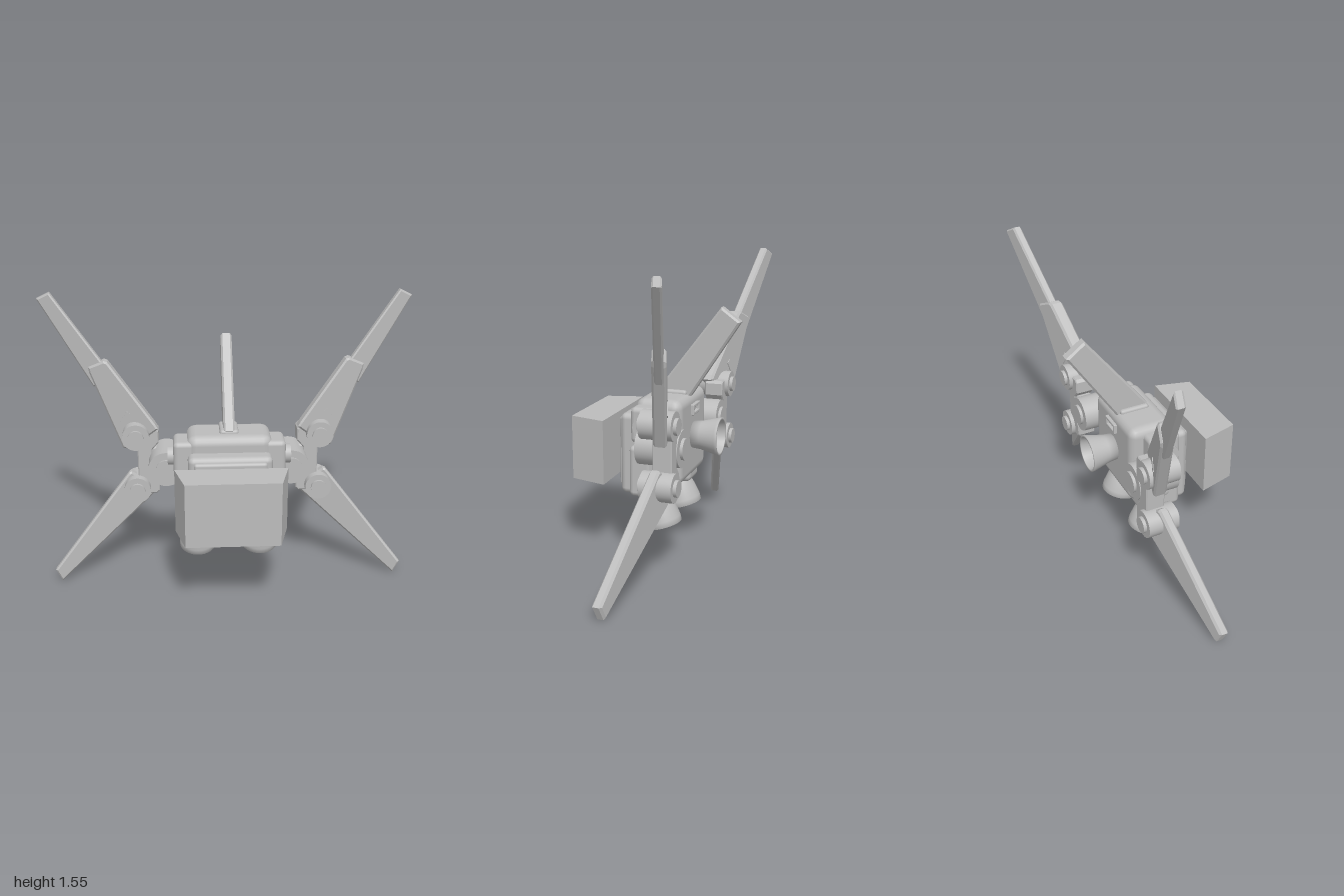
import * as THREE from 'three';
import { RoundedBoxGeometry } from 'three/addons/geometries/RoundedBoxGeometry.js';

export function createModel() {
  const model = new THREE.Group();
  const grey = new THREE.MeshStandardMaterial({ color: 0xbcbcbc });
  grey.name = 'plainGrey';

  const add = (name, geo, x = 0, y = 0, z = 0) => {
    const m = new THREE.Mesh(geo, grey);
    m.name = name;
    m.position.set(x, y, z);
    model.add(m);
    return m;
  };
  // Rounded box given by its extents
  const block = (name, [x0, x1], [y0, y1], [z0, z1], r = 0.02) =>
    add(name, new RoundedBoxGeometry(x1 - x0, y1 - y0, z1 - z0, 2, r),
      (x0 + x1) / 2, (y0 + y1) / 2, (z0 + z1) / 2);
  // Cylinder lying along z
  const drum = (name, x, y, z0, z1, r) =>
    add(name, new THREE.CylinderGeometry(r, r, z1 - z0, 32).rotateX(Math.PI / 2), x, y, (z0 + z1) / 2);
  // Outline extruded to a bevelled slab
  const slab = (pts, depth, bevel) => {
    const shape = new THREE.Shape(pts.map(([x, y]) => new THREE.Vector2(x, y)));
    return new THREE.ExtrudeGeometry(shape, {
      depth: depth - 2 * bevel, bevelEnabled: bevel > 0, bevelSize: bevel,
      bevelThickness: bevel, bevelOffset: -bevel, bevelSegments: 1,
    }).translate(0, 0, -depth / 2 + bevel);
  };
  // Blade swept in z in proportion to its distance from the middle
  const blade = (name, s, pts, depth, bevel, base, slope) => {
    const geo = slab(pts.map(([x, y]) => [s * x, y]), depth, bevel);
    const p = geo.attributes.position;
    for (let i = 0; i < p.count; i++) p.setZ(i, p.getZ(i) + base + slope * Math.abs(p.getX(i)));
    geo.computeVertexNormals();
    add(name, geo);
  };
  // Hollow thruster bell, opening towards -y
  const bell = (name, outer, inner) =>
    add(name, new THREE.LatheGeometry([...inner, ...outer].map(([r, y]) => new THREE.Vector2(r, y)), 32));

  // Body core with chest plate
  block('bodyCore', [-0.225, 0.225], [0.41, 0.865], [-0.17, 0.08], 0.05);
  block('lowerBody', [-0.255, 0.255], [0.35, 0.62], [-0.02, 0.1], 0.025);
  block('chestPlate', [-0.22, 0.22], [0.35, 0.78], [0.05, 0.16], 0.03);
  block('chestPanel', [-0.19, 0.19], [0.385, 0.755], [0.12, 0.175], 0.015);

  // Floating tapered box ahead of the chest
  const box = new THREE.BoxGeometry(0.58, 0.34, 0.195);
  const bp = box.attributes.position;
  for (let i = 0; i < bp.count; i++) if (bp.getZ(i) > 0) bp.setX(i, Math.sign(bp.getX(i)) * 0.24);
  const flat = box.toNonIndexed();
  flat.computeVertexNormals();
  add('frontBox', flat, 0, 0.58, 0.322);

  // Top fin, outlined in the z-y plane
  const fin = slab([[-0.02, 0.88], [0.316, 1.32], [0.416, 1.247], [0.15, 0.84], [0.02, 0.84]], 0.06, 0.01);
  add('topFin', fin.rotateY(Math.PI / 2).applyMatrix4(new THREE.Matrix4().makeRotationY(0)));
  fin.rotateY(Math.PI); // lean towards the rear
  if (fin.boundingBox === null) fin.computeBoundingBox();
  if (fin.boundingBox.max.z > 0.2) fin.rotateY(Math.PI);
  block('finBase', [-0.05, 0.05], [0.83, 0.882], [-0.14, 0.02], 0.015);

  // Rear thruster and vent frame
  const rear = bell('rearThruster',
    [[0.1, 0], [0.098, 0.015], [0.076, 0.1], [0.07, 0.16], [0, 0.16]],
    [[0, 0.12], [0.06, 0.11], [0.088, 0]]);
  rear.position.set(0, 0.642, -0.318);
  rear.rotation.x = Math.PI / 2;
  for (const y of [0.765, 0.805]) block('ventBar', [-0.055, 0.055], [y - 0.008, y + 0.008], [-0.187, -0.16], 0.004);
  for (const x of [-0.047, 0.047]) block('ventPost', [x - 0.008, x + 0.008], [0.765, 0.805], [-0.187, -0.16], 0.004);

  for (const s of [1, -1]) {
    const span = (a, b) => (s > 0 ? [a, b] : [-b, -a]);

    // Shoulder with side stud
    block('shoulder', span(0.18, 0.295), [0.65, 0.835], [-0.1, 0.075], 0.025);
    add('shoulderStud', new THREE.CylinderGeometry(0.05, 0.05, 0.08, 24).rotateZ(Math.PI / 2), s * 0.285, 0.742, 0);
    block('flank', span(0.18, 0.25), [0.45, 0.68], [-0.12, 0.06], 0.02);

    // Lower thruster and its mount
    block('thrusterMount', span(0.09, 0.255), [0.335, 0.47], [-0.12, 0.06], 0.03);
    const ball = add('mountBall', new THREE.SphereGeometry(0.07, 24, 16), s * 0.19, 0.45, 0.01);
    ball.scale.set(1, 0.85, 1);
    const low = bell('lowerThruster',
      [[0.1, 0], [0.1, 0.03], [0.088, 0.09], [0.07, 0.15], [0.055, 0.18], [0, 0.18]],
      [[0, 0.13], [0.06, 0.12], [0.088, 0.02], [0.09, 0]]);
    low.position.set(s * 0.171, 0.192, -0.06);
    low.rotation.x = 0.27;

    // Arm joint
    drum('armJoint', s * 0.335, 0.66, -0.22, 0, 0.095);
    drum('armJointCap', s * 0.335, 0.66, -0.235, 0.012, 0.055);

    // Bracket carrying the two wing hinges
    add('wingBracket', slab([
      [0.375, 0.49], [0.39, 0.475], [0.49, 0.475], [0.49, 0.85], [0.39, 0.85],
      [0.375, 0.835], [0.375, 0.77], [0.41, 0.73], [0.41, 0.59], [0.375, 0.55],
    ].map(([x, y]) => [s * x, y]), 0.1, 0.006), 0, 0, -0.165);
    block('bracketLink', span(0.36, 0.45), [0.58, 0.74], [-0.205, -0.125], 0.01);
    for (const y of [0.815, 0.51]) {
      drum('wingHinge', s * 0.495, y, -0.235, -0.07, 0.072);
      drum('wingHingeCap', s * 0.495, y, -0.252, -0.055, 0.042);
    }

    // Upper wing: thick sleeve, slim blade and a small hatch
    blade('upperWingSleeve', s, [[0.375, 0.855], [0.39, 0.88], [0.635, 1.205], [0.655, 1.21], [0.74, 1.17],
      [0.735, 1.14], [0.57, 0.73], [0.53, 0.725]], 0.07, 0.01, 0, -0.323);
    blade('upperWingBlade', s, [[0.62, 1.14], [0.93, 1.555], [1.0, 1.518], [0.715, 1.06]], 0.045, 0.008, 0, -0.323);
    blade('wingHatch', s, [[0.52, 0.93], [0.54, 0.945], [0.575, 0.885], [0.555, 0.87]], 0.078, 0, 0, -0.323);

    // Lower wing
    blade('lowerWing', s, [[0.38, 0.49], [0.39, 0.47], [0.925, 0.003], [0.957, 0.075], [0.54, 0.595], [0.525, 0.6]],
      0.05, 0.01, -0.307, 0.305);
  }
  return model;
}
